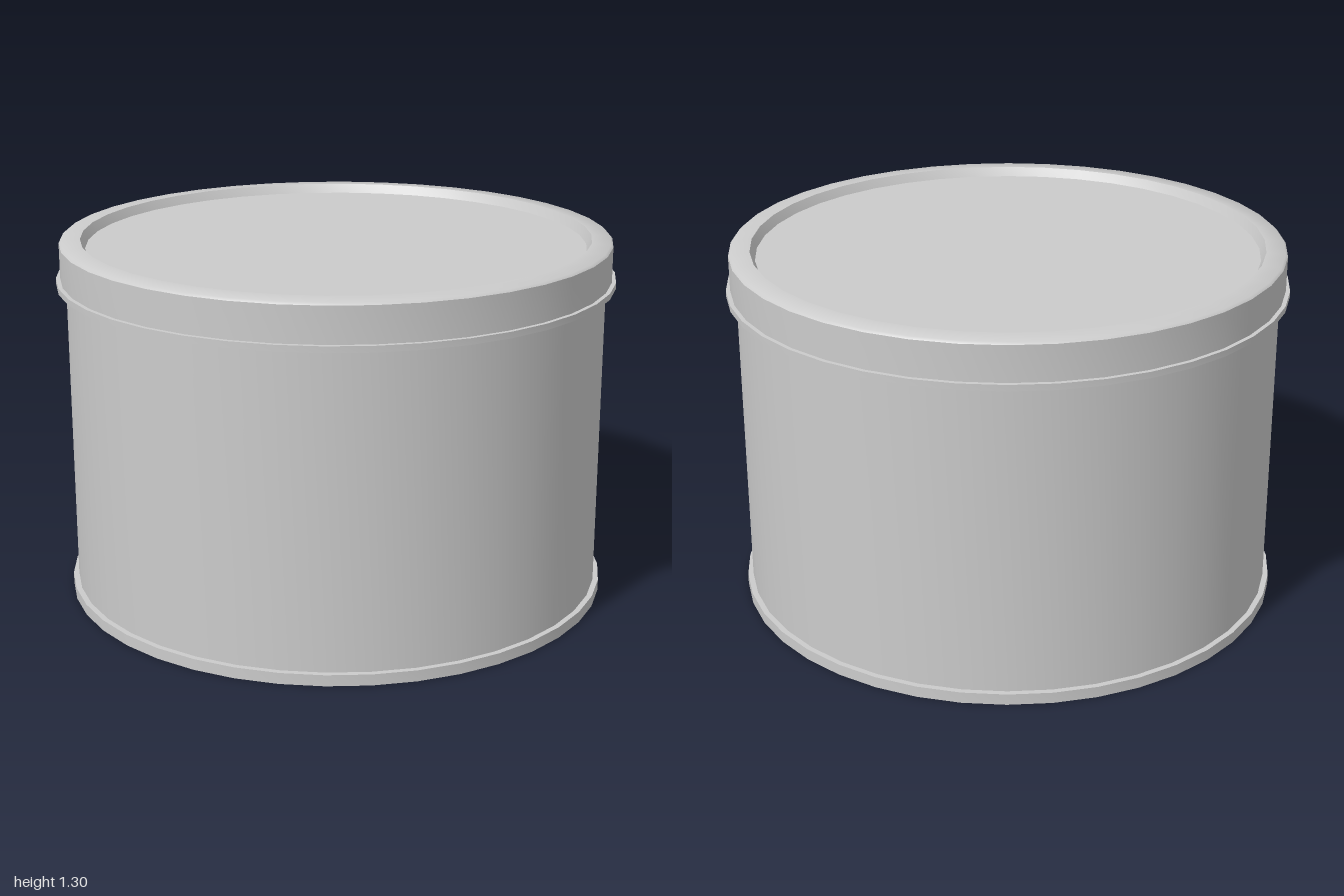
import * as THREE from 'three';
import { toCreasedNormals } from 'three/addons/utils/BufferGeometryUtils.js';

const SIDES = 40;

export function createModel() {
  const model = new THREE.Group();
  const material = new THREE.MeshStandardMaterial({ color: 0xcccccc });

  // Revolve an outline of [radius, height] points, keeping sharp edges
  function turned(name, outline, crease = 0.5) {
    const points = outline.map(([r, y]) => new THREE.Vector2(r, y));
    const geometry = toCreasedNormals(new THREE.LatheGeometry(points, SIDES), crease);
    const mesh = new THREE.Mesh(geometry, material);
    mesh.name = name;
    return mesh;
  }

  // Tin: base, bottom rim and straight wall
  model.add(turned('body', [
    [0, 0], [0.985, 0], [0.985, 0.04], [0.965, 0.04], [0.965, 1.145],
  ]));

  // Lid: rolled flange, skirt, sloping top ring and sunken panel
  const lid = new THREE.Group();
  lid.name = 'lid';
  lid.add(
    turned('lidSkirt', [
      [0.965, 1.145], [1, 1.145], [1, 1.167], [0.985, 1.167], [0.985, 1.293],
    ]),
    turned('lidRing', [[0.985, 1.293], [0.977, 1.301], [0.91, 1.305]], 0.9),
    turned('lidPanel', [[0.91, 1.305], [0.893, 1.272], [0, 1.272]]),
  );
  model.add(lid);

  return model;
}
